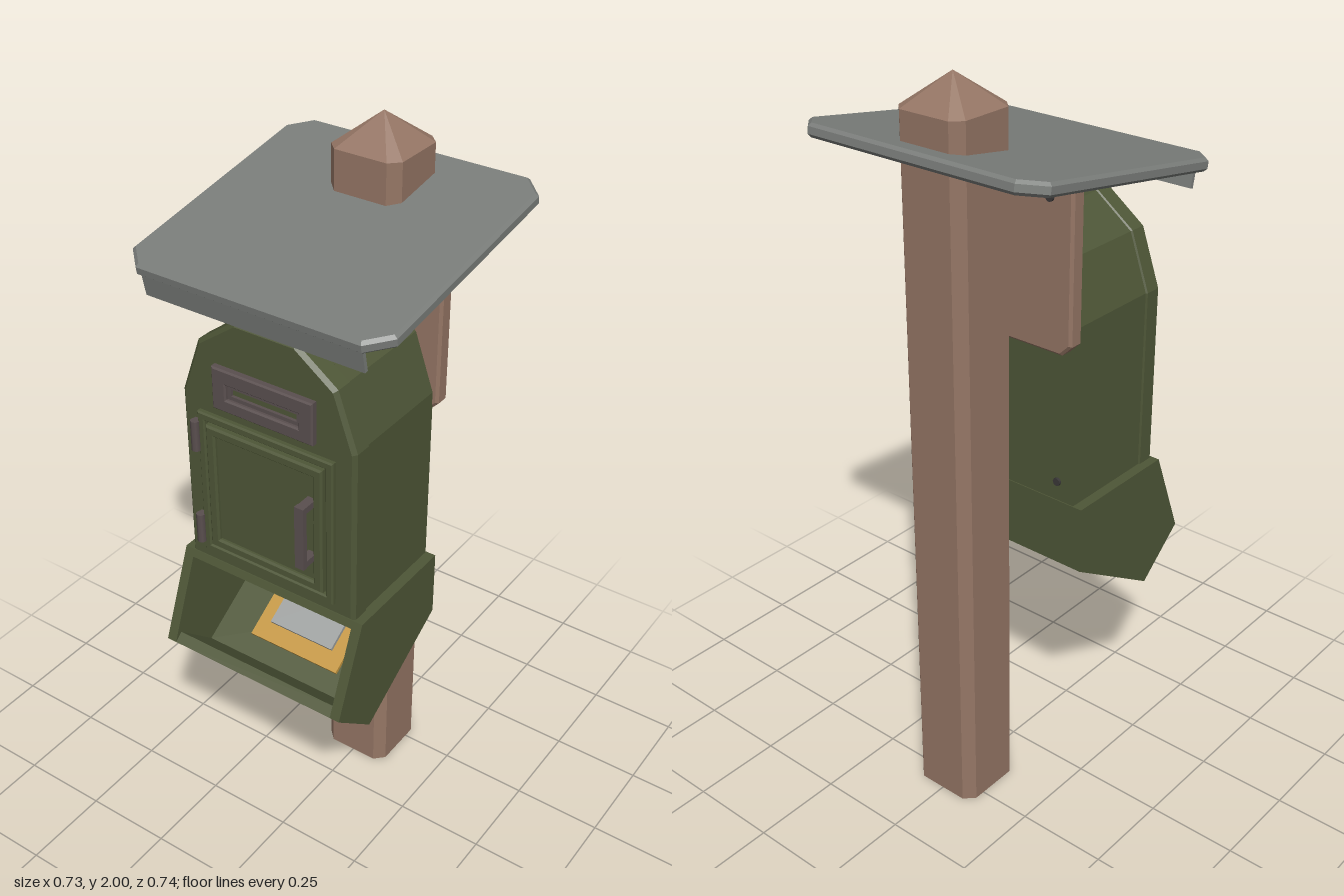
import * as THREE from 'three';

const mat = (name, color) => {
  const m = new THREE.MeshStandardMaterial({ color });
  m.name = name;
  return m;
};

export function createModel() {
  const root = new THREE.Group();
  root.name = 'mailboxOnPost';
  const wood = mat('wood', 0x957665);
  const green = mat('olive green', 0x4e5637);
  const slate = mat('slate grey', 0x7a7d7a);
  const metal = mat('dark metal', 0x5a4f4f);
  const screwMat = mat('screw', 0x3a3838);
  const paper = mat('paper', 0x9c9f9e);
  const manila = mat('manila', 0xc2953f);

  const add = (name, geo, material, parent = root) => {
    const m = new THREE.Mesh(geo, material);
    m.name = name;
    parent.add(m);
    return m;
  };
  const box = (name, w, h, d, x, y, z, material, parent) => {
    const m = add(name, new THREE.BoxGeometry(w, h, d), material, parent);
    m.position.set(x, y, z);
    return m;
  };
  const poly = (pts) => new THREE.Shape(pts.map((p) => new THREE.Vector2(p[0], p[1])));
  // extrusion from z0 to z1 with an optional chamfer that stays inside those limits
  const extrude = (shape, z0, z1, bevel = 0) =>
    new THREE.ExtrudeGeometry(shape, {
      depth: z1 - z0 - 2 * bevel, bevelEnabled: bevel > 0, bevelSize: bevel,
      bevelThickness: bevel, bevelOffset: -bevel, bevelSegments: 1,
    }).translate(0, 0, z0 + bevel);
  const octagon = (w, d, c) => [
    [w, -d + c], [w, d - c], [w - c, d], [-w + c, d],
    [-w, d - c], [-w, -d + c], [-w + c, -d], [w - c, -d],
  ];
  const rect = (w, y0, y1) => [[-w, y0], [w, y0], [w, y1], [-w, y1]];
  const ring = (outer, inner) => {
    const s = poly(outer);
    s.holes.push(new THREE.Path(inner.map((p) => new THREE.Vector2(p[0], p[1]))));
    return s;
  };

  // post with chamfered corners and pyramid tip
  const postPts = octagon(0.1, 0.0985, 0.027);
  const post = add('post', extrude(poly(postPts), 0, 1.92).rotateX(-Math.PI / 2), wood);
  post.position.z = -0.2085;
  const tip = [];
  postPts.forEach((p, i) => {
    const q = postPts[(i + 1) % postPts.length];
    tip.push(p[0], 1.92, -p[1], q[0], 1.92, -q[1], 0, 2, 0);
  });
  const tipGeo = new THREE.BufferGeometry();
  tipGeo.setAttribute('position', new THREE.Float32BufferAttribute(tip, 3));
  tipGeo.computeVertexNormals();
  add('postTip', tipGeo, wood).position.z = -0.2085;

  // sloping roof and the drip strip under its front edge
  const roof = add('roof',
    extrude(poly(octagon(0.364, 0.357, 0.055)), -0.017, 0.017, 0.008).rotateX(-Math.PI / 2), slate);
  roof.position.set(0, 1.7825, -0.015);
  roof.rotation.x = 0.162;
  const strip = box('dripStrip', 0.61, 0.065, 0.01, 0, 1.687, 0.316, slate);
  strip.rotation.x = 0.2;

  // backboard between post and box
  add('backboard', extrude(poly([
    [-0.235, 1.335], [0.235, 1.335], [0.265, 1.365], [0.265, 1.775], [-0.265, 1.775], [-0.265, 1.365],
  ]), -0.108, -0.063, 0.007), wood);

  // box body: rear shell and slightly larger chamfered front section
  const arch = (s) => [
    [-0.254 + s, 0.9], [0.254 - s, 0.9], [0.254 - s, 1.395], [0.2 - s * 0.8, 1.548 - s * 0.5],
    [0.088, 1.63 - s], [-0.088, 1.63 - s], [-0.2 + s * 0.8, 1.548 - s * 0.5], [-0.254 + s, 1.395],
  ];
  add('boxBody', extrude(poly(arch(0.004)), -0.065, 0.22), green);
  add('boxFront', extrude(poly(arch(0)), 0.208, 0.272, 0.01), green);

  // collection tray: bent wall open toward the front, closed by two side plates
  const tray = new THREE.Group();
  tray.name = 'tray';
  root.add(tray);
  const outer = [[0.27, 0.905], [-0.068, 0.905], [-0.068, 0.72], [0.23, 0.535], [0.37, 0.655]];
  const inner = [[0.346, 0.674], [0.227, 0.566], [-0.045, 0.737], [-0.045, 0.885], [0.278, 0.885]];
  const across = (pts, w) => extrude(poly(pts), -w / 2, w / 2).rotateY(-Math.PI / 2);
  add('trayWall', across([...outer, ...inner], 0.5), green, tray);
  for (const s of [-1, 1]) add('traySide', across(outer, 0.028), green, tray).position.x = s * 0.264;

  // letters lying on the sloping tray floor
  const mail = new THREE.Group();
  mail.name = 'letters';
  mail.position.set(0, 0.672, 0.08);
  mail.rotation.x = 0.561;
  root.add(mail);
  box('largeEnvelope', 0.28, 0.01, 0.19, 0, 0.0, 0.028, manila, mail);
  box('smallEnvelope', 0.2, 0.01, 0.19, 0, 0.011, -0.022, paper, mail);
  const flap = add('envelopeFlap',
    extrude(poly([[0, 0], [0.1, 0.085], [-0.1, 0.085]]), 0, 0.003).rotateX(-Math.PI / 2), paper, mail);
  flap.position.set(0, 0.016, -0.032);

  // door: surround, framed leaf, recessed panel
  const door = new THREE.Group();
  door.name = 'door';
  root.add(door);
  add('doorSurround', extrude(ring(rect(0.2, 0.94, 1.36), rect(0.178, 0.962, 1.338)), 0.265, 0.286, 0.004), green, door);
  add('doorLeaf', extrude(ring(rect(0.172, 0.968, 1.332), rect(0.145, 0.995, 1.305)), 0.265, 0.292, 0.005), green, door);
  add('doorPanel', extrude(poly(rect(0.15, 0.99, 1.31)), 0.265, 0.281), green, door);

  // handle and hinges
  box('handleGrip', 0.026, 0.18, 0.014, 0.138, 1.15, 0.329, metal, door);
  for (const y of [1.07, 1.23]) box('handleArm', 0.024, 0.018, 0.047, 0.138, y, 0.302, metal, door);
  for (const y of [1.01, 1.29]) {
    const hinge = add('hinge', new THREE.CylinderGeometry(0.012, 0.012, 0.085, 8), metal, door);
    hinge.position.set(-0.205, y, 0.289);
    box('hingePlate', 0.022, 0.08, 0.016, -0.205, y, 0.276, metal, door);
  }

  // letter slot
  add('slotFrame', extrude(ring(rect(0.146, 1.39, 1.505), rect(0.105, 1.425, 1.465)), 0.265, 0.29, 0.004), metal);
  add('slotRim', extrude(ring(rect(0.11, 1.42, 1.47), rect(0.095, 1.435, 1.455)), 0.268, 0.28), metal);

  // screws on the back of the board and the box
  for (const s of [-1, 1]) {
    for (const [y, z] of [[1.725, -0.109], [0.96, -0.066]]) {
      const screw = add('screw', new THREE.CylinderGeometry(0.011, 0.011, 0.012, 8).rotateX(Math.PI / 2), screwMat);
      screw.position.set(s * 0.2, y, z);
    }
  }
  return root;
}
